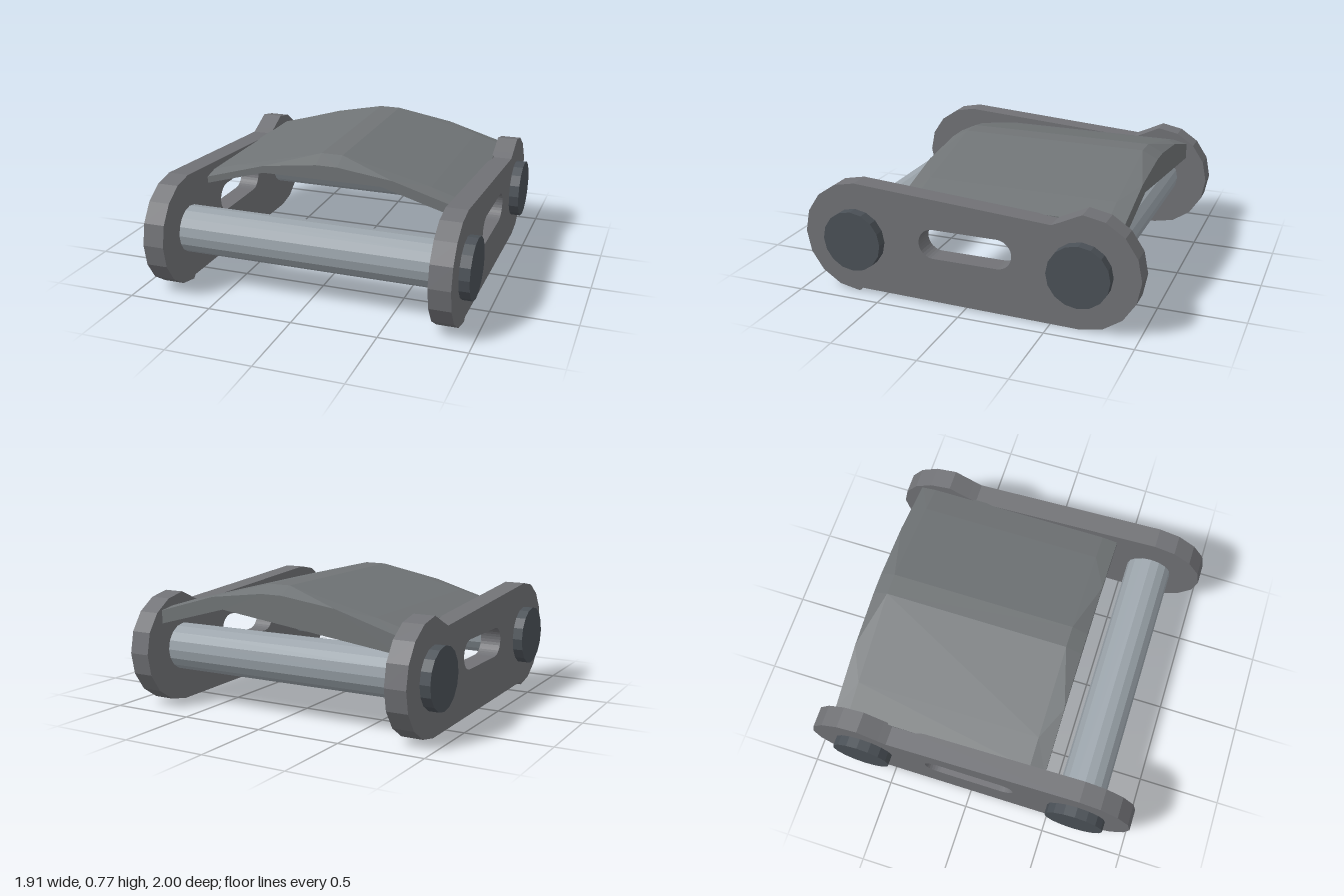
import * as THREE from 'three';

const mat = (color) => new THREE.MeshStandardMaterial({ color, flatShading: true, side: THREE.DoubleSide });
const PIN_Y = 0.33, PIN_Z = 0.67;

// Side plate outline in (z, y): two 16-sided round ends joined by nearly straight edges
function plateGeometry() {
  const shape = new THREE.Shape();
  const arc = (cz, from) => {
    for (let i = 0; i <= 8; i++) {
      const a = from + (i * Math.PI) / 8;
      const p = [cz + 0.33 * Math.cos(a), PIN_Y + 0.33 * Math.sin(a)];
      if (i === 0 && cz > 0) shape.moveTo(...p);
      else shape.lineTo(...p);
    }
  };
  arc(PIN_Z, -Math.PI / 2);
  shape.lineTo(-0.5, 0.58);
  shape.lineTo(-0.55, 0.602);
  arc(-PIN_Z, Math.PI / 2);
  shape.lineTo(0.65, 0.02);
  shape.closePath();

  // Rounded slot through the middle
  const slot = new THREE.Path();
  slot.absarc(0.19, 0.363, 0.087, -Math.PI / 2, Math.PI / 2, false);
  slot.absarc(-0.19, 0.363, 0.087, Math.PI / 2, Math.PI * 1.5, false);
  slot.closePath();
  shape.holes.push(slot);

  const g = new THREE.ExtrudeGeometry(shape, { depth: 0.125, bevelEnabled: false, curveSegments: 8 });
  return g.rotateY(-Math.PI / 2).translate(0.0625, 0, 0);
}

// Cover pad: a thin peaked cross-section lofted along z, chamfered at both ends,
// with a deeper edge at the back
function coverGeometry() {
  const lip = [[-0.78, 0.53], [-0.4, 0.64], [0.33, 0.64], [0.78, 0.51]];
  const skirt = [[-0.78, 0.474], [-0.4, 0.522], [0.33, 0.615], [0.78, 0.492]];
  const high = [[0.78, 0.585], [0.6, 0.64], [0.065, 0.77], [-0.065, 0.77], [-0.6, 0.64], [-0.78, 0.59]];
  const low = [[0.78, 0.57], [0.4, 0.682], [0.065, 0.725], [-0.065, 0.725], [-0.4, 0.682], [-0.78, 0.57]];
  const sections = [
    [0.435, [...lip, ...low]],
    [0.34, [...lip, ...high]],
    [-0.77, [...lip, ...high]],
    [-0.86, [...skirt, ...low]],
  ];
  const n = lip.length + high.length;
  const pos = sections.flatMap(([z, pts]) => pts.flatMap(([x, y]) => [x, y, z]));
  const index = [];
  for (let s = 0; s < 3; s++) {
    for (let i = 0; i < n; i++) {
      const j = (i + 1) % n;
      const a = s * n + i, b = s * n + j, c = b + n, d = a + n;
      // Mirror the diagonals so the corner creases match on all four corners
      const leftHalf = pos[a * 3] + pos[b * 3] < 0;
      if (leftHalf === (s === 2)) index.push(a, d, c, a, c, b);
      else index.push(a, d, b, b, d, c);
    }
  }
  // End faces
  for (const s of [0, 3]) {
    const outline = sections[s][1].map(([x, y]) => new THREE.Vector2(x, y));
    for (const [a, b, c] of THREE.ShapeUtils.triangulateShape(outline, [])) {
      const o = s * n;
      index.push(o + a, ...(s === 0 ? [o + b, o + c] : [o + c, o + b]));
    }
  }

  const g = new THREE.BufferGeometry();
  g.setAttribute('position', new THREE.Float32BufferAttribute(pos, 3));
  g.setIndex(index);
  const flat = g.toNonIndexed();
  flat.computeVertexNormals();
  return flat;
}

export function createModel() {
  const model = new THREE.Group();
  const plateMat = mat(0x717276), coverMat = mat(0x707476), pinMat = mat(0x9ba4ab), capMat = mat(0x4b5157);
  const add = (name, geometry, material, x = 0, y = 0, z = 0) => {
    const mesh = new THREE.Mesh(geometry, material);
    mesh.name = name;
    mesh.position.set(x, y, z);
    model.add(mesh);
  };
  const rod = (r, length) =>
    new THREE.CylinderGeometry(r, r, length, 16).rotateZ(Math.PI / 2);

  const plate = plateGeometry();
  const pin = rod(0.14, 1.56);
  const cap = rod(0.178, 0.07);

  // Side plates and the pin heads on their outer faces
  for (const [side, sx] of [['left', 1], ['right', -1]]) {
    add(side + 'Plate', plate, plateMat, sx * 0.832);
    add(side + 'FrontPinHead', cap, capMat, sx * 0.92, PIN_Y, PIN_Z);
    add(side + 'BackPinHead', cap, capMat, sx * 0.92, PIN_Y, -PIN_Z);
  }

  // Cross pins
  add('frontPin', pin, pinMat, 0, PIN_Y, PIN_Z);
  add('backPin', pin, pinMat, 0, PIN_Y, -PIN_Z);

  add('coverPad', coverGeometry(), coverMat);
  return model;
}
